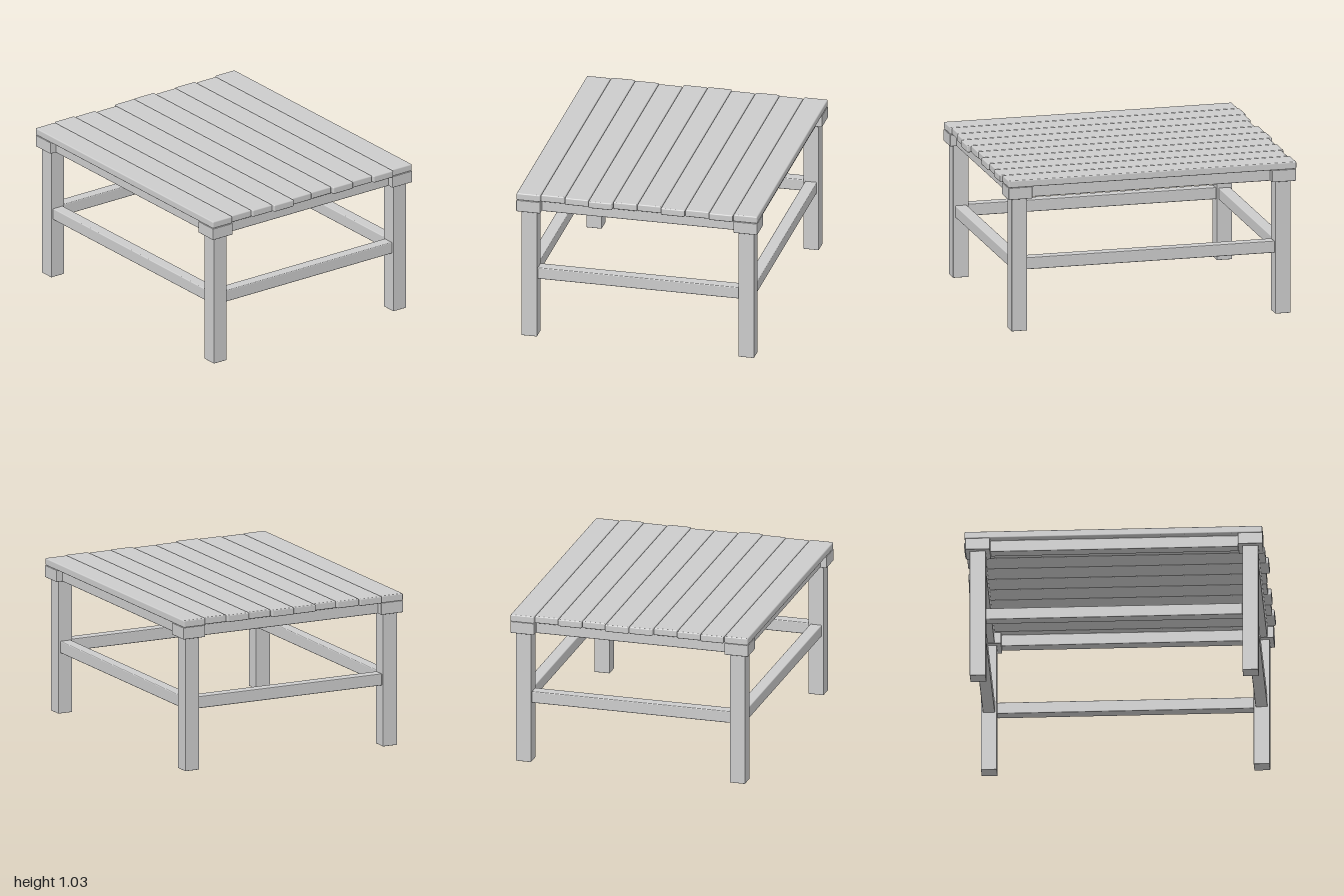
import * as THREE from 'three';
import { RoundedBoxGeometry } from 'three/addons/geometries/RoundedBoxGeometry.js';

export function createModel() {
  const table = new THREE.Group();
  table.name = 'slattedTable';
  const wood = new THREE.MeshStandardMaterial({ color: 0xcccccc });

  // Timber with slightly eased edges, placed by its centre
  function timber(name, size, position, radius = 0.006) {
    const mesh = new THREE.Mesh(new RoundedBoxGeometry(...size, 2, radius), wood);
    mesh.name = name;
    mesh.position.set(...position);
    table.add(mesh);
  }

  const legX = 0.902, legZ = 0.738;  // leg centre lines
  const legW = 0.105, blockW = 0.164, railT = 0.08;

  // Table top: ten planks, each shifted a little along its length
  const shifts = [-0.003, 0.013, -0.003, 0.008, -0.015, -0.010, 0.015, -0.002, -0.013, -0.003];
  const pitch = 0.164;
  shifts.forEach((shift, i) =>
    timber('plank', [1.97, 0.049, pitch - 0.002], [shift, 1.0105, (i - 4.5) * pitch], 0.008));

  for (const s of [-1, 1]) {
    // Legs with corner blocks
    for (const t of [-1, 1]) {
      timber('leg', [legW, 0.905, legW], [s * legX, 0.4525, t * legZ], 0.003);
      timber('cornerBlock', [blockW, 0.081, blockW], [s * legX, 0.9455, t * legZ], 0.004);
    }

    // Long rails at front and back
    timber('longApron', [2 * legX - blockW, railT, railT], [0, 0.9455, s * legZ]);
    timber('longStretcher', [2 * legX - legW, railT, railT], [0, 0.453, s * legZ]);

    // Short rails at the sides
    timber('sideApron', [railT, railT, 2 * legZ - blockW], [s * legX, 0.9455, 0]);
    timber('sideStretcher', [railT, railT, 2 * legZ - legW], [s * legX, 0.453, 0]);
  }
  return table;
}
